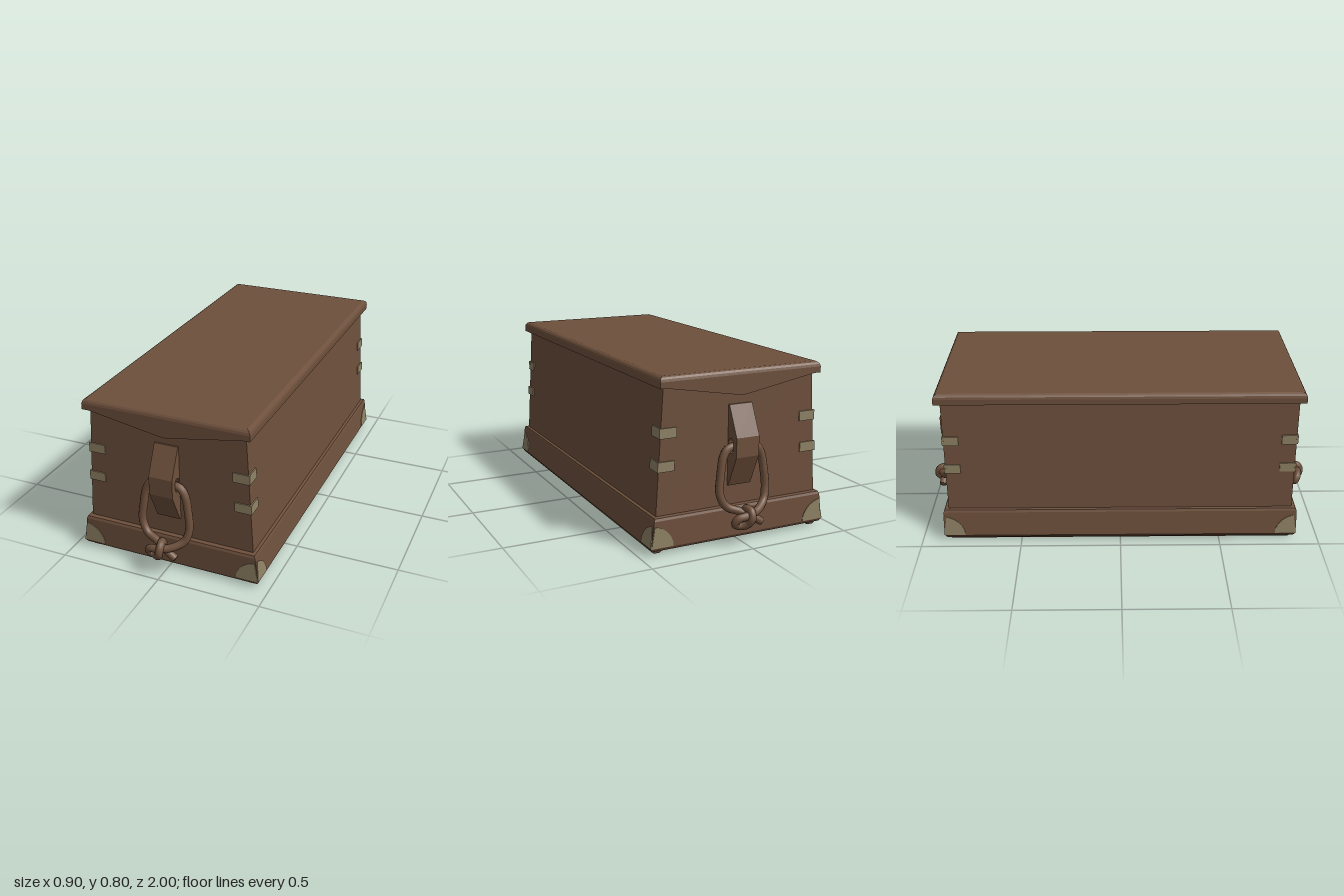
import * as THREE from 'three';

const wood = new THREE.MeshStandardMaterial({ color: 0x6e503c });
wood.name = 'brown wood';
const brass = new THREE.MeshStandardMaterial({ color: 0x8f8265 });
brass.name = 'dull brass';

function add(parent, name, geometry, material) {
  const mesh = new THREE.Mesh(geometry, material);
  mesh.name = name;
  parent.add(mesh);
  return mesh;
}

// Closed solid through rectangular rings, each [half width, half length, height]
function loft(rings) {
  const corners = rings.map(([x, z, y]) => [[x, y, z], [x, y, -z], [-x, y, -z], [-x, y, z]]);
  const pos = [];
  const quad = (a, b, c, d) => pos.push(...a, ...b, ...c, ...a, ...c, ...d);
  const first = corners[0], last = corners[corners.length - 1];
  quad(first[3], first[2], first[1], first[0]);
  quad(...last);
  for (let i = 0; i < corners.length - 1; i++) {
    for (let k = 0; k < 4; k++) {
      const n = (k + 1) % 4;
      quad(corners[i][k], corners[i][n], corners[i + 1][n], corners[i + 1][k]);
    }
  }
  const g = new THREE.BufferGeometry();
  g.setAttribute('position', new THREE.Float32BufferAttribute(pos, 3));
  g.computeVertexNormals();
  return g;
}

// Rounded corner plate outline; u runs toward the chest corner, v is height above 0.03
function cornerPlate(sign, edge) {
  const s = new THREE.Shape();
  s.moveTo(sign * edge, 0.005);
  s.lineTo(sign * (edge - 0.105), 0.005);
  s.lineTo(sign * (edge - 0.105), 0.025);
  s.quadraticCurveTo(sign * (edge - 0.085), 0.09, sign * (edge - 0.016), 0.105);
  const g = new THREE.ExtrudeGeometry(s, { depth: 0.008, bevelEnabled: false, curveSegments: 10 });
  return g.translate(0, 0, -0.004);
}

function tube(points, segments, radius) {
  const curve = new THREE.CatmullRomCurve3(points.map(p => new THREE.Vector3(...p)));
  return new THREE.TubeGeometry(curve, segments, radius, 12);
}

// Angled cleat with a rope loop, built on the front end
function makeHandle(name) {
  const handle = new THREE.Group();
  handle.name = name;

  // Cleat profile: x is distance along z, y is height
  const profile = new THREE.Shape([
    [0.85, 0.265], [0.868, 0.265], [0.935, 0.41], [0.935, 0.5], [0.868, 0.638], [0.85, 0.638],
  ].map(p => new THREE.Vector2(...p)));
  const hole = new THREE.Path();
  hole.absellipse(0.886, 0.455, 0.022, 0.034, 0, Math.PI * 2, true);
  profile.holes.push(hole);
  const cleat = new THREE.ExtrudeGeometry(profile, { depth: 0.116, bevelEnabled: false });
  cleat.translate(0, 0, -0.058).rotateY(-Math.PI / 2);
  add(handle, 'cleat', cleat, wood);

  // One rope: short end, up the left, through the cleat, down the right, knotted
  const rope = [
    [0.07, 0.103, 0.95], [0.03, 0.128, 0.945], [-0.03, 0.158, 0.925], [-0.09, 0.185, 0.91],
    [-0.118, 0.24, 0.9], [-0.112, 0.33, 0.893], [-0.096, 0.41, 0.888], [-0.07, 0.444, 0.886],
    [0, 0.45, 0.886],
    [0.07, 0.444, 0.886], [0.096, 0.41, 0.888], [0.112, 0.33, 0.893], [0.118, 0.24, 0.9],
    [0.1, 0.185, 0.915], [0.05, 0.155, 0.945], [-0.01, 0.145, 0.965], [-0.055, 0.135, 0.96],
    [-0.066, 0.112, 0.95], [-0.042, 0.097, 0.945], [-0.012, 0.105, 0.965],
    [0.002, 0.135, 0.982], [0.004, 0.165, 0.97], [-0.002, 0.172, 0.94], [-0.005, 0.14, 0.915],
  ];
  add(handle, 'rope', tube(rope, 170, 0.019), wood);
  // Cut rope ends
  const tip = add(handle, 'ropeTip', new THREE.CircleGeometry(0.019, 12), wood);
  tip.position.set(0.07, 0.103, 0.95);
  tip.lookAt(0.11, 0.078, 0.955);
  return handle;
}

export function createModel() {
  const chest = new THREE.Group();
  chest.name = 'chest';

  // Sloped body, hollow-bottomed plinth and lid
  add(chest, 'body', loft([[0.416, 0.86, 0.16], [0.38, 0.86, 0.75]]), wood);
  add(chest, 'plinth', loft([
    [0.39, 0.85, 0.035], [0.39, 0.85, 0.018], [0.442, 0.876, 0.018], [0.45, 0.885, 0.032],
    [0.434, 0.885, 0.158], [0.429, 0.88, 0.17], [0.412, 0.858, 0.173],
  ]), wood);
  add(chest, 'lid', loft([
    [0.408, 0.888, 0.745], [0.408, 0.888, 0.773], [0.405, 0.885, 0.784],
    [0.399, 0.879, 0.792], [0.389, 0.869, 0.797],
  ]), wood);

  const tilt = 0.061, plinthTilt = 0.125;
  for (const sz of [1, -1]) {
    // Shallow V-shaped lid ends
    const vee = new THREE.Shape();
    vee.moveTo(-0.38, 0.75);
    vee.lineTo(-0.38, 0.745);
    vee.lineTo(-0.03, 0.684);
    vee.quadraticCurveTo(0, 0.678, 0.03, 0.684);
    vee.lineTo(0.38, 0.745);
    vee.lineTo(0.38, 0.75);
    const veeGeo = new THREE.ExtrudeGeometry(vee, { depth: 0.03, bevelEnabled: false });
    add(chest, 'lidEnd', veeGeo.translate(0, 0, sz > 0 ? 0.856 : -0.886), wood);

    for (const sx of [1, -1]) {
      // Straps wrapped around the upright corners
      for (const y of [0.543, 0.394]) {
        const x = 0.415 - (y - 0.17) * tilt;
        const endGeo = new THREE.BoxGeometry(0.082, 0.046, 0.009);
        add(chest, 'endStrap', endGeo, brass).position.set(sx * (x - 0.034), y, sz * 0.861);
        const side = add(chest, 'sideStrap', new THREE.BoxGeometry(0.009, 0.046, 0.08), brass);
        side.position.set(sx * (x + 0.002), y, sz * 0.8255);
        side.rotation.z = sx * tilt;
      }
      // Plinth corner plates
      add(chest, 'endCornerPlate', cornerPlate(sx, 0.448), brass).position.set(0, 0.03, sz * 0.884);
      const sideGeo = cornerPlate(-sz, 0.888).rotateY(Math.PI / 2).rotateZ(sx * plinthTilt);
      add(chest, 'sideCornerPlate', sideGeo, brass).position.set(sx * 0.449, 0.03, 0);
    }
  }

  // Runners under the long sides
  for (const sx of [1, -1]) {
    const runner = loft([[0.015, 0.855, 0], [0.022, 0.86, 0.01], [0.022, 0.86, 0.025]]);
    add(chest, 'runner', runner, wood).position.x = sx * 0.408;
  }

  // Rope handles at both ends
  chest.add(makeHandle('frontHandle'));
  const back = makeHandle('backHandle');
  back.rotation.y = Math.PI;
  chest.add(back);

  return chest;
}
